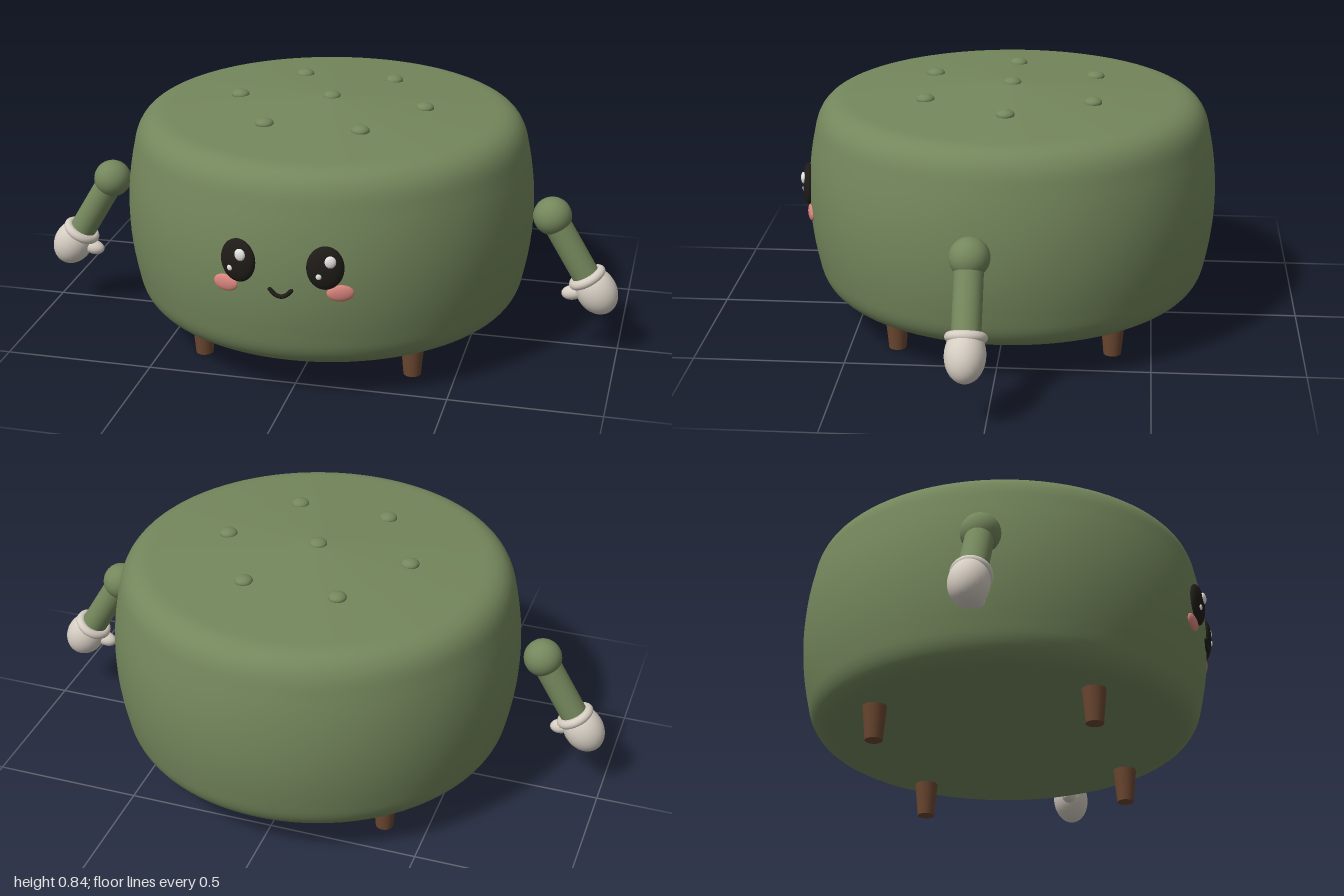
import * as THREE from 'three';

const mat = (name, color) => {
  const m = new THREE.MeshStandardMaterial({ color });
  m.name = name;
  return m;
};

export function createModel() {
  const root = new THREE.Group();
  root.name = 'pouf';
  const green = mat('green fabric', 0x74875c);
  const wood = mat('brown wood', 0x6b4730);
  const cream = mat('cream glove', 0xd6cec3);
  const black = mat('black', 0x1f1c18);
  const white = mat('white', 0xf4f2ee);
  const pink = mat('pink', 0xd9857d);
  const CZ = -0.015; // centre of the cushion

  const add = (parent, name, geo, material, x, y, z) => {
    const m = new THREE.Mesh(geo, material);
    m.name = name;
    m.position.set(x, y, z);
    parent.add(m);
    return m;
  };
  const ball = (parent, name, material, pos, radii) => {
    const m = add(parent, name, new THREE.SphereGeometry(1, 32, 20), material, ...pos);
    m.scale.set(...radii);
    return m;
  };

  // Cushion: rounded, slightly bulging drum with a shallow crown
  const V = (x, y) => new THREE.Vector2(x, y);
  const side = [
    new THREE.CubicBezierCurve(V(0.55, 0.117), V(0.615, 0.117), V(0.652, 0.152), V(0.664, 0.225)),
    new THREE.QuadraticBezierCurve(V(0.664, 0.225), V(0.716, 0.45), V(0.664, 0.675)),
    new THREE.CubicBezierCurve(V(0.664, 0.675), V(0.652, 0.75), V(0.615, 0.782), V(0.55, 0.785)),
  ];
  const profile = [V(0, 0.117), V(0.54, 0.117)];
  side.forEach((c, i) => profile.push(...c.getPoints(12).slice(i ? 1 : 0)));
  profile.push(V(0.53, 0.786), V(0.28, 0.805), V(0.02, 0.822), V(0, 0.822));
  add(root, 'cushion', new THREE.LatheGeometry(profile, 96), green, 0, 0, CZ);

  // Tufting buttons: one in the middle, six around it
  ball(root, 'centreButton', green, [0, 0.822, CZ], [0.03, 0.017, 0.03]);
  for (let i = 0; i < 6; i++) {
    const a = (i * Math.PI) / 3;
    ball(root, 'button', green,
      [0.318 * Math.cos(a), 0.804, CZ + 0.318 * Math.sin(a)], [0.03, 0.017, 0.03]);
  }

  // Tapered legs
  for (const sx of [-1, 1]) for (const sz of [-1, 1])
    add(root, 'leg', new THREE.CylinderGeometry(0.042, 0.029, 0.14, 24), wood,
      sx * 0.357, 0.07, CZ + sz * 0.357);

  // Arms: local -y runs from the shoulder to the hand
  for (const s of [-1, 1]) {
    const arm = new THREE.Group();
    arm.name = s > 0 ? 'leftArm' : 'rightArm';
    arm.position.set(s * 0.765, 0.487, 0.06);
    arm.rotation.z = s * 0.54;
    root.add(arm);
    ball(arm, 'shoulder', green, [0, 0, 0], [0.064, 0.064, 0.064]);
    add(arm, 'upperArm', new THREE.CylinderGeometry(0.046, 0.046, 0.25, 32), green, 0, -0.125, 0);
    const cuff = add(arm, 'cuff', new THREE.TorusGeometry(0.05, 0.016, 14, 40), cream, 0, -0.243, 0);
    cuff.rotation.x = Math.PI / 2;
    ball(arm, 'hand', cream, [s * 0.005, -0.298, 0], [0.068, 0.086, 0.064]);
    const thumb = ball(root, 'thumb', cream, [s * 0.845, 0.222, 0.066], [0.038, 0.025, 0.026]);
    thumb.rotation.z = s * 0.2;
  }

  // Face: each feature is turned to follow the curved front
  const onFront = (name, x, y, r) => {
    const g = new THREE.Group();
    const a = Math.asin(x / r);
    g.name = name;
    g.position.set(x, y, CZ + r * Math.cos(a));
    g.rotation.y = a;
    root.add(g);
    return g;
  };
  for (const s of [-1, 1]) {
    const eye = onFront(s > 0 ? 'leftEye' : 'rightEye', s * 0.139, 0.492, 0.69);
    ball(eye, 'pupil', black, [0, 0, 0], [0.059, 0.072, 0.022]);
    ball(eye, 'largeGlint', white, [0.016, 0.027, 0.019], [0.018, 0.02, 0.009]);
    ball(eye, 'smallGlint', white, [-0.02, -0.022, 0.019], [0.009, 0.01, 0.005]);
    const cheek = onFront(s > 0 ? 'leftCheek' : 'rightCheek', s * 0.184, 0.407, 0.688);
    ball(cheek, 'blush', pink, [0, 0, 0], [0.043, 0.028, 0.012]);
  }

  // Smile
  const smile = new THREE.CatmullRomCurve3([-1, -0.5, 0, 0.5, 1].map(
    (t) => new THREE.Vector3(t * 0.034, 0.389 + 0.022 * t * t, 0.677)));
  add(root, 'smile', new THREE.TubeGeometry(smile, 24, 0.007, 10), black, 0, 0, 0);
  for (const s of [-1, 1])
    ball(root, 'smileEnd', black, [s * 0.034, 0.411, 0.677], [0.007, 0.007, 0.007]);

  return root;
}
